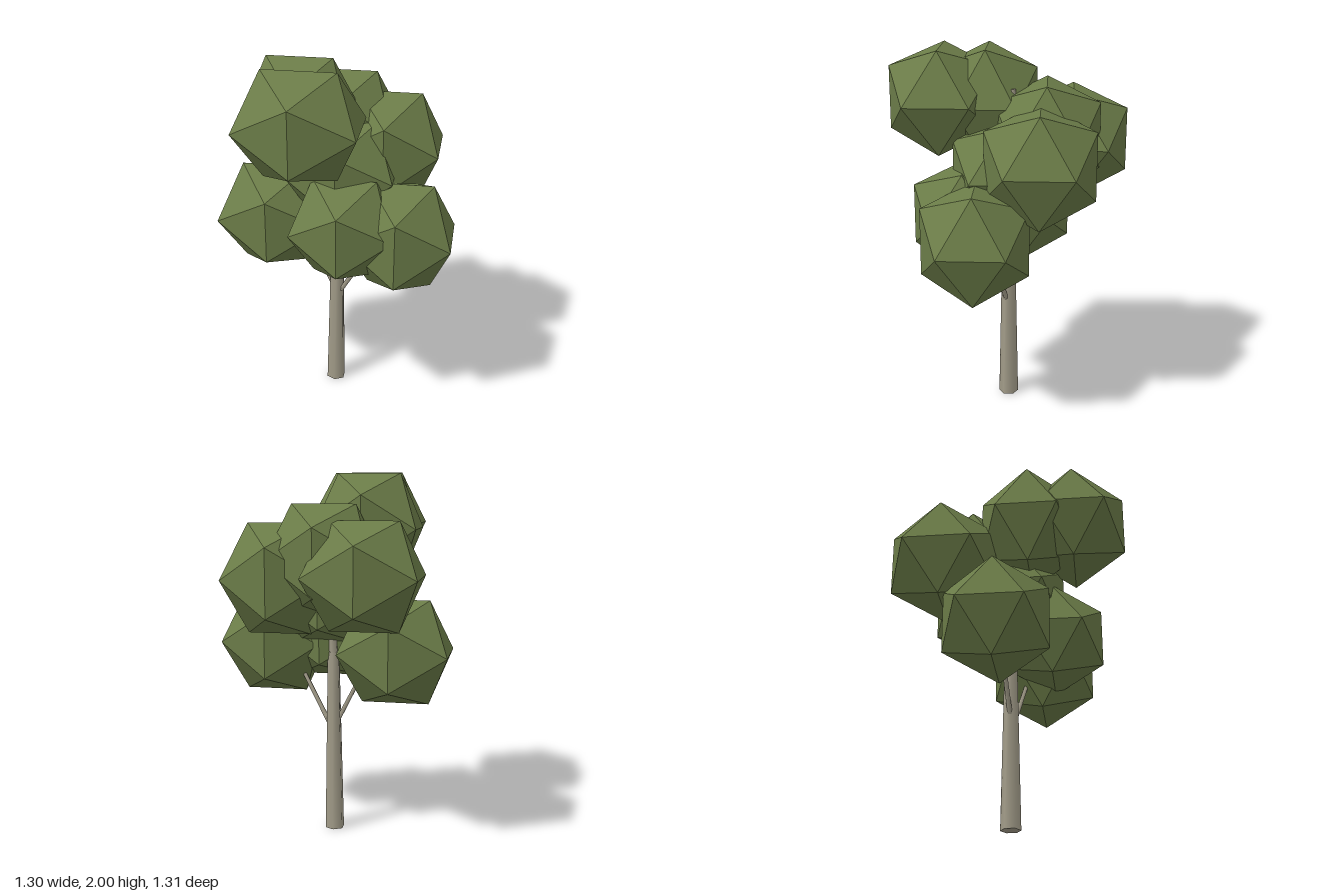
import * as THREE from 'three';

const bark = new THREE.MeshStandardMaterial({ color: 0xa39d8a });
const leaf = new THREE.MeshStandardMaterial({ color: 0x6b7c48, flatShading: true });

// Tapered round limb between two points
function limb(name, from, to, r0, r1, sides = 6) {
  const a = new THREE.Vector3(...from), b = new THREE.Vector3(...to);
  const dir = b.clone().sub(a);
  const mesh = new THREE.Mesh(new THREE.CylinderGeometry(r1, r0, dir.length(), sides), bark);
  mesh.position.copy(a).add(b).multiplyScalar(0.5);
  mesh.quaternion.setFromUnitVectors(new THREE.Vector3(0, 1, 0), dir.normalize());
  mesh.name = name;
  return mesh;
}

// Faceted foliage clumps: centre, then radius along each axis
const clumps = [
  [[-0.125, 1.72, 0.375], [0.365, 0.33, 0.335]],
  [[-0.17, 1.70, 0.125], [0.33, 0.35, 0.32]],
  [[-0.225, 1.475, -0.35], [0.35, 0.335, 0.35]],
  [[0.015, 1.55, -0.205], [0.33, 0.34, 0.335]],
  [[0.265, 1.44, -0.175], [0.33, 0.35, 0.345]],
  [[0.37, 1.055, 0.16], [0.33, 0.345, 0.335]],
  [[0.08, 1.115, 0.235], [0.32, 0.315, 0.325]],
  [[-0.35, 1.04, -0.045], [0.35, 0.335, 0.335]],
  [[0.04, 1.35, 0.02], [0.335, 0.325, 0.33]],
];

export function createModel() {
  const tree = new THREE.Group();
  tree.name = 'tree';

  // Trunk, its thin leader and the side branches
  tree.add(
    limb('trunk', [-0.003, 0, 0], [0.005, 1.02, 0], 0.055, 0.034),
    limb('leader', [0.005, 0.98, 0], [0.04, 1.8, -0.025], 0.03, 0.016),
    limb('leftBranch', [0.015, 0.58, 0.01], [0.28, 1.04, 0.1], 0.014, 0.01),
    limb('rightBranch', [-0.01, 0.61, 0], [-0.24, 1.06, -0.04], 0.014, 0.01),
  );

  // Crown
  const crown = new THREE.Group();
  crown.name = 'crown';
  const ball = new THREE.IcosahedronGeometry(1, 0);
  clumps.forEach(([centre, radii], i) => {
    const clump = new THREE.Mesh(ball, leaf);
    clump.position.set(...centre);
    clump.scale.set(...radii);
    clump.name = `foliageClump${i + 1}`;
    crown.add(clump);
  });
  tree.add(crown);
  return tree;
}
